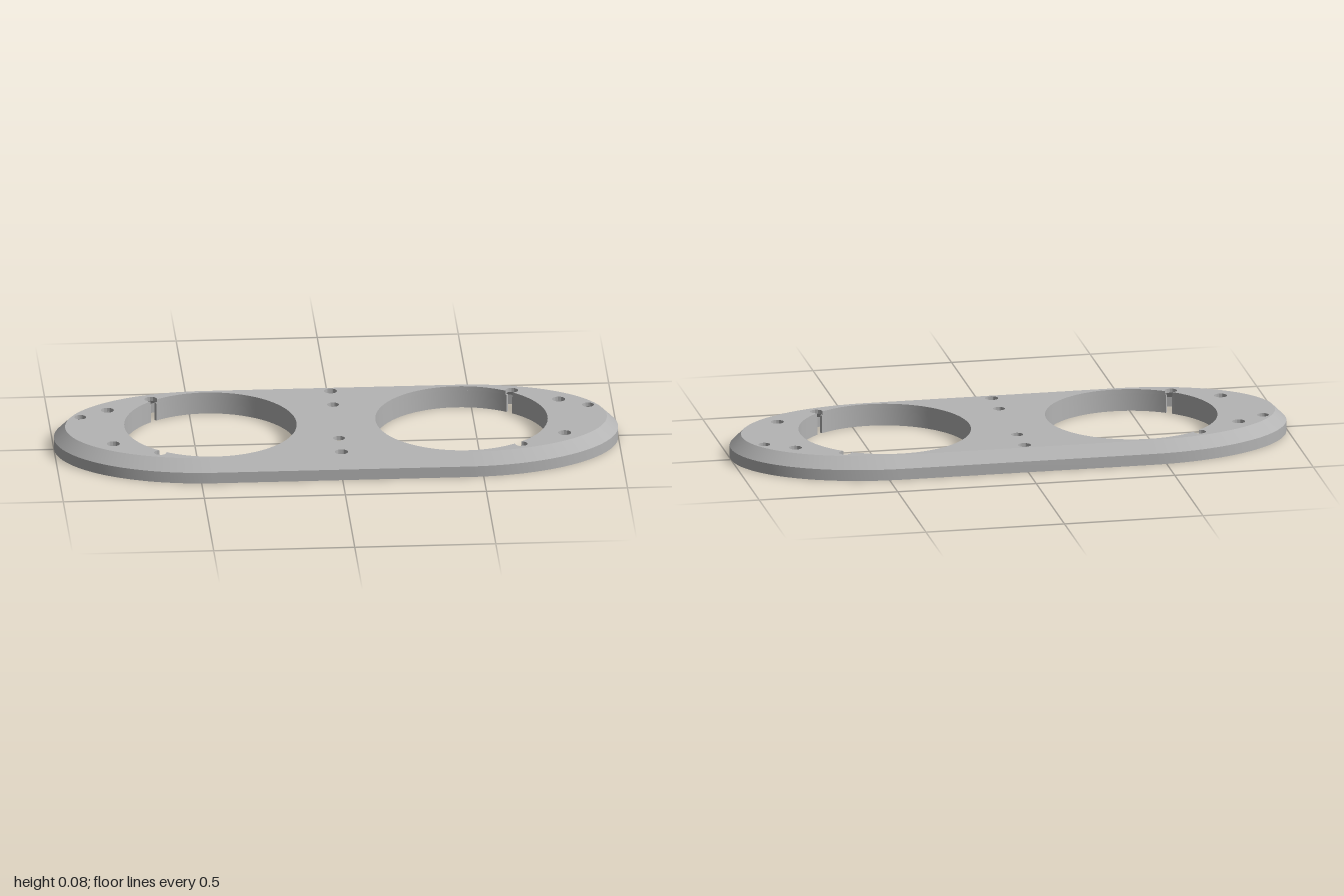
import * as THREE from 'three';
import { toCreasedNormals } from 'three/addons/utils/BufferGeometryUtils.js';

const HEIGHT = 0.08, PLATE = 0.015, UNDER = HEIGHT - PLATE;
const RING_X = 0.445, RING_R = 0.305, RING_WALL = 0.01;
const NOTCH_R = 0.022, NOTCH_D = 0.321, NOTCH_ANGLE = 0.918;

// Straight sides joined by half ellipses, shrunk by an inset (x, -z)
function outline(inset) {
  const pts = [], n = 64;
  for (const side of [1, -1]) {
    for (let i = 0; i <= n; i++) {
      const t = -Math.PI / 2 + (Math.PI * i) / n;
      pts.push(new THREE.Vector2(
        side * (0.45 + (0.55 - inset) * Math.cos(t)),
        side * (0.36 - inset) * Math.sin(t)));
    }
  }
  return pts;
}

// One smooth band between two (inset, y) points of the rim's section
function band([insetA, yA], [insetB, yB]) {
  const a = outline(insetA), b = outline(insetB), n = a.length;
  const pos = [], index = [];
  a.forEach((p) => pos.push(p.x, yA, -p.y));
  b.forEach((p) => pos.push(p.x, yB, -p.y));
  for (let i = 0; i < n; i++) {
    const j = (i + 1) % n;
    index.push(i, j, n + i, j, n + j, n + i);
  }
  const g = new THREE.BufferGeometry();
  g.setAttribute('position', new THREE.Float32BufferAttribute(pos, 3));
  g.setIndex(index);
  g.computeVertexNormals();
  return g;
}

// Extrude a plan shape upwards from y0 to y1
function slab(shape, y0, y1) {
  const g = new THREE.ExtrudeGeometry(shape, { depth: y1 - y0, bevelEnabled: false, curveSegments: 48 });
  g.rotateX(-Math.PI / 2).translate(0, y0, 0);
  return toCreasedNormals(g, 0.5);
}

function roundHole(x, z, r) {
  return new THREE.Path().absarc(x, -z, r, 0, Math.PI * 2, false);
}

// Large opening with two round notches on its outer side
function notchedHole(side) {
  const path = new THREE.Path(), cx = side * RING_X;
  const cosA = (RING_R ** 2 + NOTCH_D ** 2 - NOTCH_R ** 2) / (2 * RING_R * NOTCH_D);
  const alpha = Math.acos(cosA);
  const beta = Math.acos((RING_R * cosA - NOTCH_D) / NOTCH_R);
  const base = side > 0 ? 0 : Math.PI;
  const angles = [base - NOTCH_ANGLE, base + NOTCH_ANGLE];
  angles.forEach((a, i) => {
    const next = i === 0 ? angles[1] : angles[0] + Math.PI * 2;
    path.absarc(cx + NOTCH_D * Math.cos(a), NOTCH_D * Math.sin(a), NOTCH_R, a - beta, a + beta, false);
    path.absarc(cx, 0, RING_R, a + alpha, next - alpha, false);
  });
  path.closePath();
  return path;
}

export function createModel() {
  const model = new THREE.Group();
  const grey = new THREE.MeshStandardMaterial({ color: 0xb4b4b4 });
  grey.name = 'plain grey';
  const add = (name, geometry, parent = model) => {
    const mesh = new THREE.Mesh(geometry, grey);
    mesh.name = name;
    parent.add(mesh);
    return mesh;
  };

  // Thin chamfered rim, hollow inside
  const rim = new THREE.Group();
  rim.name = 'rim';
  model.add(rim);
  const outer = [[0.015, 0], [0, 0], [0, 0.04], [0.04, HEIGHT]];
  const inner = [[0.04, UNDER], [0.015, 0.036], [0.015, 0]];
  for (const section of [outer, inner]) {
    for (let i = 0; i + 1 < section.length; i++) add('rimFace', band(section[i], section[i + 1]), rim);
  }

  // Top plate with all its openings
  const bossSpots = [[0, 0.29], [0, -0.29]];
  for (const x of [-0.8, 0.8]) for (const z of [-0.16, 0.16]) bossSpots.push([x, z]);
  const plate = new THREE.Shape(outline(0.04));
  plate.holes.push(notchedHole(1), notchedHole(-1));
  for (const [x, z] of bossSpots) plate.holes.push(roundHole(x, z, 0.023));
  for (const [x, z] of [[0, 0.16], [0, -0.16], [0.9, -0.1], [-0.9, -0.1]]) {
    plate.holes.push(roundHole(x, z, 0.021));
  }
  add('topPlate', slab(plate, UNDER, HEIGHT));

  // Collars under the large openings, each split by two slits
  const slit = 0.04;
  for (const side of [1, -1]) {
    const collar = new THREE.Group();
    collar.name = side > 0 ? 'leftCollar' : 'rightCollar';
    model.add(collar);
    const base = side > 0 ? 0 : Math.PI;
    const spans = [
      [base - NOTCH_ANGLE + slit, base + NOTCH_ANGLE - slit],
      [base + NOTCH_ANGLE + slit, base + Math.PI * 2 - NOTCH_ANGLE - slit],
    ];
    for (const [from, to] of spans) {
      const arc = new THREE.Shape();
      arc.absarc(side * RING_X, 0, RING_R + RING_WALL, from, to, false);
      arc.absarc(side * RING_X, 0, RING_R, to, from, true);
      arc.closePath();
      add('collarWall', slab(arc, 0, UNDER), collar);
    }
  }

  // Hollow screw bosses with a counterbore from above
  const profile = [
    [0.012, 0.01], [0.028, 0.01], [0.028, UNDER], [0.023, UNDER],
    [0.023, 0.04], [0.012, 0.04], [0.012, 0.01],
  ].map(([r, y]) => new THREE.Vector2(r, y));
  const bossGeometry = toCreasedNormals(new THREE.LatheGeometry(profile, 32), 0.5);
  for (const [x, z] of bossSpots) add('screwBoss', bossGeometry).position.set(x, 0, z);

  return model;
}
